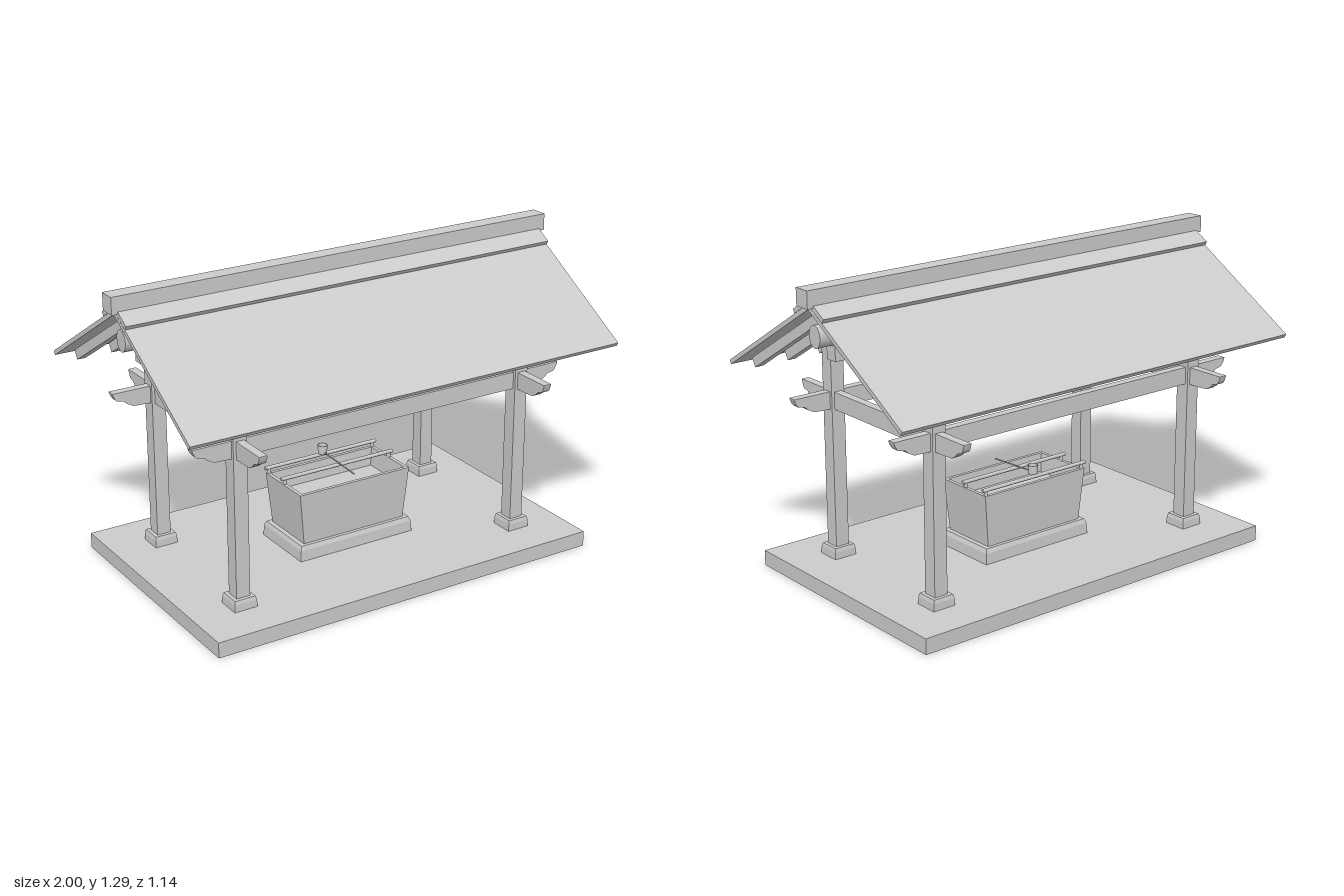
import * as THREE from 'three';

const material = new THREE.MeshStandardMaterial({ color: 0xcccccc });
const POST_X = 0.655, POST_Z = 0.327, PITCH = 0.6;

export function createModel() {
  const model = new THREE.Group();
  model.name = 'waterPavilion';

  const add = (name, geometry, x = 0, y = 0, z = 0) => {
    const mesh = new THREE.Mesh(geometry, material);
    mesh.name = name;
    mesh.position.set(x, y, z);
    model.add(mesh);
    return mesh;
  };
  const box = (name, w, h, d, x, y, z) => add(name, new THREE.BoxGeometry(w, h, d), x, y, z);

  // Rod between two points
  const rod = (name, from, to, radius) => {
    const a = new THREE.Vector3(...from), b = new THREE.Vector3(...to);
    const mesh = add(name, new THREE.CylinderGeometry(radius, radius, a.distanceTo(b), 10));
    mesh.position.copy(a).add(b).multiplyScalar(0.5);
    mesh.quaternion.setFromUnitVectors(new THREE.Vector3(0, 1, 0), b.sub(a).normalize());
    return mesh;
  };

  // Rectangular cross-sections [half width, half depth, y] joined into a solid
  const rectangleLoft = (sections) => {
    const corners = [[1, 1], [1, -1], [-1, -1], [-1, 1]];
    const positions = [];
    const point = ([hx, hz, y], i) => [corners[i % 4][0] * hx, y, corners[i % 4][1] * hz];
    for (let s = 0; s < sections.length - 1; s++) {
      for (let i = 0; i < 4; i++) {
        const a = point(sections[s], i), b = point(sections[s], i + 1);
        const c = point(sections[s + 1], i + 1), d = point(sections[s + 1], i);
        positions.push(...a, ...b, ...c, ...a, ...c, ...d);
      }
    }
    const geometry = new THREE.BufferGeometry();
    geometry.setAttribute('position', new THREE.Float32BufferAttribute(positions, 3));
    geometry.computeVertexNormals();
    return geometry;
  };

  // Profile extruded symmetrically about its own plane
  const extrude = (points, depth) => {
    const shape = new THREE.Shape(points.map(([x, y]) => new THREE.Vector2(x, y)));
    return new THREE.ExtrudeGeometry(shape, { depth, bevelEnabled: false })
      .translate(0, 0, -depth / 2);
  };

  // Sloping slab on one side of the roof, running along x
  const slopeSlab = (side, end, apex, thickness, length) => {
    const n = new THREE.Vector2(PITCH, 1).normalize().multiplyScalar(thickness);
    const foot = apex - PITCH * end;
    const points = [[0, apex], [end, foot], [end + n.x, foot + n.y], [n.x, apex + n.y],
      [0, apex + thickness * Math.hypot(1, PITCH)]];
    return extrude(points.map(([z, y]) => [z * side, y]), length).rotateY(-Math.PI / 2);
  };

  // Tie beam with carved, undercut ends
  const tieBeam = (half, reach) => {
    const end = [[reach, 0], [0.6 * reach, 0.003], [0.42 * reach, 0.017], [0.33 * reach, 0.03],
      [0.12 * reach, 0.037], [0.05 * reach, 0.05], [0, 0.068], [0, 0.072]];
    const right = end.map(([inset, y]) => [half - inset, y]);
    const left = right.map(([x, y]) => [-x, y]).reverse();
    return extrude([...right, ...left], 0.035);
  };

  // Ground slab
  box('baseSlab', 1.74, 0.065, 1.09, 0, 0.0325, 0);

  // Posts on tapered footings
  for (const sx of [-1, 1]) {
    for (const sz of [-1, 1]) {
      const x = sx * POST_X, z = sz * POST_Z;
      add('postFooting', rectangleLoft([[0, 0, 0], [0.05, 0.05, 0], [0.049, 0.049, 0.03],
        [0.045, 0.045, 0.045], [0, 0, 0.045]]), x, 0.065, z);
      box('post', 0.06, 0.86, 0.06, x, 0.54, z);
    }
  }

  // Tie beams in both directions, and the cross beams above
  for (const s of [-1, 1]) {
    add('longTieBeam', tieBeam(0.85, 0.15), 0, 0.691, s * POST_Z);
    add('shortTieBeam', tieBeam(0.527, 0.12).rotateY(Math.PI / 2), s * POST_X, 0.69, 0);
    box('crossBeam', 0.06, 0.06, 0.6, s * POST_X, 0.972, 0);
  }

  // Ridge support beam and rounded ridge purlin
  box('ridgeSupportBeam', 1.76, 0.06, 0.055, 0, 1.03, 0);
  const purlin = add('ridgePurlin',
    new THREE.CylinderGeometry(0.036, 0.036, 1.9, 20).rotateZ(Math.PI / 2), 0, 1.103, 0);
  purlin.scale.y = 1.25;

  // Roof: rafters, covering and ridge flashing on each slope
  for (const side of [-1, 1]) {
    const rafter = slopeSlab(side, 0.475, 1.155, 0.04, 0.036);
    for (let i = -6; i <= 6; i++) add('rafter', rafter, i * 0.15);
    add('roofPanel', slopeSlab(side, 0.56, 1.21, 0.018, 1.95));
    add('ridgeFlashing', slopeSlab(side, 0.09, 1.232, 0.018, 1.95));
  }
  box('ridgeCap', 2, 0.07, 0.072, 0, 1.257, 0);

  // Basin plinth and hollow basin
  add('basinPlinth', rectangleLoft([[0, 0, 0.065], [0.27, 0.15, 0.065], [0.267, 0.147, 0.11],
    [0.26, 0.14, 0.128], [0, 0, 0.128]]));
  add('basin', rectangleLoft([[0, 0, 0.128], [0.24, 0.125, 0.128], [0.262, 0.136, 0.35],
    [0.247, 0.121, 0.35], [0.24, 0.116, 0.27], [0, 0, 0.27]]));

  // Ladle rests on short pegs
  for (const z of [0, -0.127]) {
    rod('ladleRest', [-0.27, 0.373, z], [0.27, 0.373, z], 0.008);
    for (const x of [-0.252, 0.252]) rod('restPeg', [x, 0.345, z], [x, 0.37, z], 0.008);
  }

  // Ladle with open cup
  rod('ladleHandle', [0, 0.379, 0.125], [0, 0.39, -0.1], 0.003);
  const cup = [[0, 0], [0.019, 0], [0.021, 0.037], [0.018, 0.037], [0.016, 0.004], [0, 0.004]];
  const cupGeometry = new THREE.LatheGeometry(cup.map((p) => new THREE.Vector2(...p)), 16)
    .toNonIndexed();
  cupGeometry.computeVertexNormals();
  add('ladleCup', cupGeometry, 0, 0.383, -0.116);

  return model;
}
